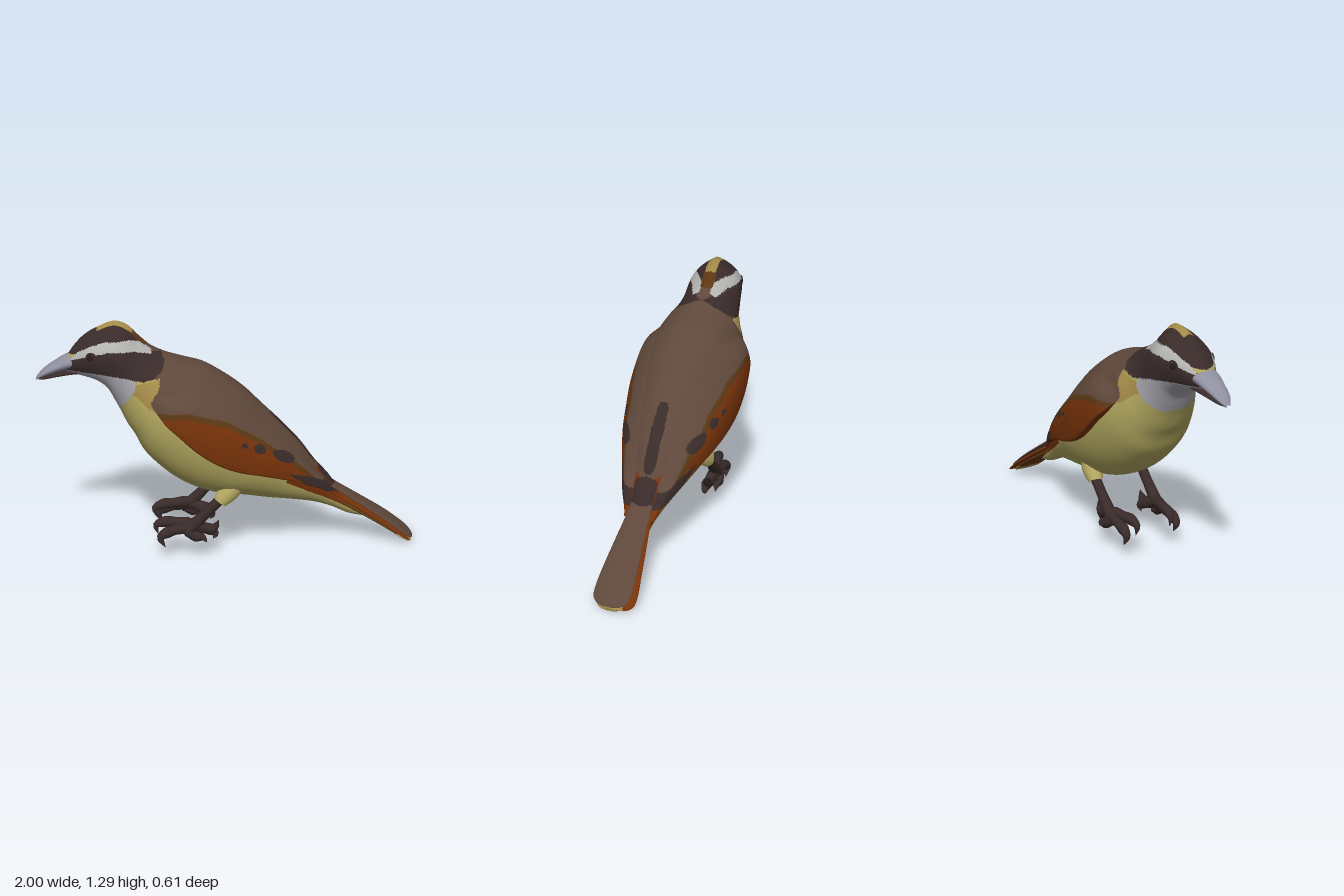
import * as THREE from 'three';

const mat = (name, color) => {
  const m = new THREE.MeshStandardMaterial({ color });
  m.name = name;
  return m;
};
const V = (x, y, z = 0) => new THREE.Vector3(x, y, z);
const lerp = THREE.MathUtils.lerp, smooth = THREE.MathUtils.smoothstep;
const [BROWN, DARK, ORANGE, OLIVE, OCHRE, WHITE, GREY, RUST, PALE, BLACK] = [0, 1, 2, 3, 4, 5, 6, 7, 8, 9];

// Body stations: top x, top y, bottom x, bottom y, half width, pointedness of upper half
const stations = [
  [-.85, 1.09, -.84, 1.03, .045, 1], [-.80, 1.165, -.77, 1.01, .085, 1.2], [-.74, 1.225, -.72, .995, .113, 1.5],
  [-.67, 1.265, -.67, .97, .132, 1.8], [-.59, 1.29, -.63, .93, .146, 1.95], [-.53, 1.27, -.605, .88, .153, 1.9],
  [-.47, 1.21, -.575, .82, .163, 1.6], [-.41, 1.155, -.54, .745, .188, 1.3], [-.33, 1.11, -.50, .68, .225, 1.05],
  [-.24, 1.08, -.46, .60, .25, 1], [-.14, 1.05, -.40, .53, .265, 1], [-.03, .985, -.31, .45, .268, 1],
  [.07, .91, -.20, .385, .26, 1], [.17, .81, -.07, .34, .238, 1], [.27, .71, .05, .325, .212, 1],
  [.37, .60, .18, .30, .17, 1], [.45, .49, .31, .28, .13, 1], [.52, .41, .44, .255, .095, 1],
  [.57, .345, .54, .22, .07, 1], [.65, .275, .64, .172, .05, 1], [.76, .195, .76, .14, .015, 1],
];
const LAST = stations.length - 1;
const topLine = new THREE.CatmullRomCurve3(stations.map(s => V(s[0], s[1], s[4])));
const bottomLine = new THREE.CatmullRomCurve3(stations.map(s => V(s[2], s[3], s[5])));

// Point on the body skin; a = 0 on the back, PI on the belly
function skin(t, a, off = 0) {
  const T = topLine.getPoint(t), B = bottomLine.getPoint(t);
  const f = (1 - Math.cos(a)) / 2, s = Math.sin(a), len = Math.hypot(T.x - B.x, T.y - B.y) || 1;
  const p = Math.cos(a) > 0 ? B.z : .88, k = off * Math.cos(a) / len;
  return V(lerp(T.x, B.x, f) + (T.x - B.x) * k, lerp(T.y, B.y, f) + (T.y - B.y) * k,
    Math.sign(s) * T.z * Math.abs(s) ** p + off * s);
}

// Grid surface whose faces are sorted into colour groups by paint(x, y, z)
function surface(name, mats, fn, nu, nv, closed, paint, flip = false) {
  const pos = [], cols = closed ? nv : nv + 1, faces = mats.map(() => []);
  for (let i = 0; i <= nu; i++) for (let j = 0; j < cols; j++) pos.push(...fn(i / nu, j / nv).toArray());
  const add = (a, b, c) => {
    const m = [0, 1, 2].map(k => (pos[a * 3 + k] + pos[b * 3 + k] + pos[c * 3 + k]) / 3);
    faces[paint(...m)].push(...(flip ? [a, c, b] : [a, b, c]));
  };
  for (let i = 0; i < nu; i++) for (let j = 0; j < nv; j++) {
    const k = (j + 1) % cols, a = i * cols + j, b = i * cols + k;
    add(a, b, a + cols);
    add(b, b + cols, a + cols);
  }
  const g = new THREE.BufferGeometry();
  g.setAttribute('position', new THREE.Float32BufferAttribute(pos, 3));
  g.setIndex(faces.flat());
  let start = 0;
  faces.forEach((f, i) => { if (f.length) g.addGroup(start, f.length, i); start += f.length; });
  g.computeVertexNormals();
  const mesh = new THREE.Mesh(g, mats);
  mesh.name = name;
  return mesh;
}

// Is a point within a side-view patch?
function inside(x, y, poly) {
  let hit = false;
  for (let i = 0, j = poly.length - 1; i < poly.length; j = i++) {
    const [ax, ay] = poly[i], [bx, by] = poly[j];
    if ((ay > y) !== (by > y) && x < (bx - ax) * (y - ay) / (by - ay) + ax) hit = !hit;
  }
  return hit;
}

// Plumage patches seen from the side
const stripe = [[-.83, 1.10], [-.78, 1.15], [-.71, 1.185], [-.64, 1.207], [-.52, 1.207], [-.41, 1.17], [-.41, 1.13], [-.5, 1.155], [-.62, 1.162], [-.72, 1.14]];
const crown = [[-.9, 1.1], [-.8, 1.3], [-.5, 1.35], [-.47, 1.2], [-.52, 1.18], [-.65, 1.19]];
const mask = [[-.87, 1.05], [-.83, 1.11], [-.62, 1.18], [-.41, 1.14], [-.36, 1.125], [-.343, 1.1], [-.36, 1.06], [-.4, 1.03], [-.46, 1.015], [-.58, 1.035], [-.72, 1.045]];
const throat = [[-.9, 1.08], [-.55, 1.06], [-.49, 1.03], [-.5, .97], [-.535, .91], [-.58, .855], [-.7, .84], [-.9, .95]];
const shoulder = [[-.565, .955], [-.5, 1], [-.37, 1.03], [-.38, .98], [-.42, .92], [-.39, .87], [-.44, .89], [-.49, .94]];
const flank = [[.27, .55], [.28, .43], [.38, .37], [.52, .29], [.64, .22], [.75, .2], [.75, .3], [.5, .45]];
const back = [[-.53, 1.35], [-.47, 1.03], [-.37, 1.03], [-.42, .92], [-.38, .86], [-.2, .72], [.1, .56], [.4, .4], [.72, .22], [.8, .4], [.3, 1.3]];
const wingBrown = [[-.6, .85], [-.37, .875], [-.23, .88], [-.04, .82], [.13, .71], [.33, .55], [.44, .44], [.6, .35], [.6, 1.4], [-.6, 1.4]];
const wingFringe = wingBrown.map(([x, y]) => [x, y - .028]);
const wingDark = [[.28, .5], [.4, .46], [.6, .36], [.6, .32], [.44, .375]];
// Dark wing marks: x, y, half length along the wing, half height
const spots = [[.05, .69, .018, .012], [.13, .66, .035, .022], [.26, .595, .07, .024]];

function paintBody(x, y, z) {
  const w = Math.abs(z);
  if (w < .03 && y > 1.235 && x > -.68 && x < -.5) return OCHRE;
  if (w < .035 && y > 1.17 && x > -.52 && x < -.43) return RUST;
  if (inside(x, y, stripe) && w > .03) return WHITE;
  if (inside(x, y, mask) || inside(x, y, crown)) return DARK;
  if (inside(x, y, throat)) return PALE;
  if (inside(x, y, shoulder)) return OCHRE;
  if (((x - .33) / .125) ** 4 + (w / .033) ** 4 < 1 && y > .46) return DARK;
  if (x > .465 && w < .06 && y > .32) return DARK;
  if (inside(x, y, flank) && w > .03) return ORANGE;
  return inside(x, y, back) ? BROWN : OLIVE;
}

function paintWing(x, y) {
  const inSpot = ([cx, cy, l, h]) => {
    const dx = x - cx, dy = y - cy;
    return ((dx * .87 - dy * .5) / l) ** 2 + ((dx * .5 + dy * .87) / h) ** 2 < 1;
  };
  if (spots.some(inSpot)) return DARK;
  if (inside(x, y, wingBrown)) return BROWN;
  if (inside(x, y, wingDark)) return DARK;
  return inside(x, y, wingFringe) ? RUST : ORANGE;
}

// Folded wing: a raised sheet that follows the body, with its edges sunk in
const upperEdge = new THREE.CatmullRomCurve3([V(0, .36), V(.1, .12), V(.3, .06), V(.6, .05), V(.85, .06), V(1, .22)]);
const lowerEdge = new THREE.CatmullRomCurve3([V(0, .5), V(.1, .58), V(.3, .62), V(.55, .55), V(.8, .42), V(1, .36)]);
function wingPoint(s, v, side) {
  const f = lerp(upperEdge.getPoint(s).y, lowerEdge.getPoint(s).y, v);
  const h = .036 * smooth(v, 0, .55) * smooth(s, 0, .14) * (1 - .45 * smooth(s, .8, 1));
  const p = skin(lerp(7.9, 18.3, s) / LAST, Math.acos(1 - 2 * f), lerp(h, -.02, smooth(v, .93, 1)) - .006 * (1 - smooth(v, 0, .1)));
  p.z *= side;
  return p;
}

// Tail blade: a flat arched feather layer along the tail line
const tailLine = new THREE.CatmullRomCurve3([V(.45, .42), V(.57, .335), V(.7, .25), V(.85, .15), V(.95, .072), V(1, .03)]);
function blade(name, mats, drop, end, width, thick, shiftZ, paint) {
  return surface(name, mats, (u, v) => {
    const c = tailLine.getPoint(u * end), a = v * Math.PI * 2;
    const round = Math.sqrt(Math.max(0, 1 - u ** 9));
    const z = lerp(.058, width, smooth(u, .1, .85)) * round * Math.sin(a);
    return V(c.x, c.y - drop * (1 - .6 * u) + thick * round * Math.cos(a) - 1.2 * z * z, z + shiftZ * u);
  }, 80, 40, true, paint);
}

// Half beak between two edge lines, from tip to base
function beakHalf(name, mats, upper, lower, widths, color) {
  const U = new THREE.CatmullRomCurve3(upper.map(p => V(...p))), L = new THREE.CatmullRomCurve3(lower.map(p => V(...p)));
  const W = new THREE.CatmullRomCurve3(widths.map((w, i) => V(i, w)));
  return surface(name, mats, (u, v) => {
    const a = v * Math.PI * 2, p = U.getPoint(u).lerp(L.getPoint(u), (1 - Math.cos(a)) / 2);
    p.z = W.getPoint(u).y * Math.sin(a);
    return p;
  }, 24, 24, true, () => color);
}

// Tapered tube for legs, toes and claws
function limb(name, material, points, radii, seg = 20) {
  const path = new THREE.CatmullRomCurve3(points.map(p => V(...p)));
  const g = new THREE.TubeGeometry(path, seg, 1, 12), pos = g.attributes.position, p = V(0, 0);
  for (let i = 0; i < pos.count; i++) {
    const u = Math.floor(i / 13) / seg, c = path.getPointAt(u), k = u * (radii.length - 1);
    const n = Math.min(Math.floor(k), radii.length - 2);
    p.fromBufferAttribute(pos, i).sub(c).multiplyScalar(lerp(radii[n], radii[n + 1], k - n)).add(c);
    pos.setXYZ(i, p.x, p.y, p.z);
  }
  const m = new THREE.Mesh(g, material);
  m.name = name;
  return m;
}

export function createModel() {
  const bird = new THREE.Group();
  bird.name = 'bird';
  const mats = [
    mat('back brown', 0x5f483b), mat('dark brown', 0x392b2a), mat('wing orange', 0x78330a), mat('belly olive', 0xb2a75f),
    mat('ochre', 0xa38a49), mat('stripe white', 0xb4b4b2), mat('beak grey', 0x9090a2), mat('rust brown', 0x5c3814),
    mat('throat grey', 0xa6a6ad), mat('eye black', 0x281e1e),
  ];

  bird.add(surface('body', mats, (u, v) => skin(u, v * Math.PI * 2), 220, 140, true, paintBody));

  // Beak
  bird.add(beakHalf('upperBeak', mats, [[-1, 1], [-.965, 1.04], [-.9, 1.085], [-.84, 1.118], [-.78, 1.13]],
    [[-1, .985], [-.965, 1.003], [-.9, 1.025], [-.84, 1.042], [-.78, 1.05]], [.012, .037, .054, .067, .07], GREY));
  bird.add(beakHalf('lowerBeak', mats, [[-.985, .995], [-.95, 1.008], [-.9, 1.026], [-.84, 1.044], [-.78, 1.05]],
    [[-.985, .985], [-.95, .99], [-.9, 1.002], [-.84, 1.013], [-.78, 1.02]], [.006, .028, .045, .058, .062], DARK));

  // Tail layers
  bird.add(blade('tailTop', mats, 0, 1, .103, .014, 0, () => BROWN));
  bird.add(blade('tailMiddle', mats, .04, .985, .115, .018, -.02, (x, y, z) => (x > .95 && Math.abs(z) < .07 ? OCHRE : ORANGE)));
  bird.add(blade('tailUnder', mats, .07, .975, .088, .018, 0, (x, y, z) => (x > .9 ? OCHRE : Math.abs(z) > .05 ? RUST : ORANGE)));

  for (const side of [1, -1]) {
    const label = side > 0 ? 'left' : 'right';
    bird.add(surface(label + 'Wing', mats, (u, v) => wingPoint(u, v, side), 120, 50, false, paintWing, side < 0));

    // Eye with a raised rim
    const eye = new THREE.Mesh(new THREE.SphereGeometry(.024, 20, 14), mats[BLACK]);
    eye.name = label + 'Eye';
    eye.position.set(-.71, 1.128, side * .1);
    const rim = new THREE.Mesh(new THREE.TorusGeometry(.025, .006, 8, 24), mats[DARK]);
    rim.name = label + 'EyeRim';
    rim.position.set(-.712, 1.128, side * .113);
    rim.rotation.y = -side * .3;
    bird.add(eye, rim);

    // Leg, foot and clawed toes
    const leg = new THREE.Group(), z = side * .145;
    leg.name = label + 'Leg';
    leg.add(limb('thigh', mats[OLIVE], [[.01, .43, z * .75], [-.03, .375, z * .93], [-.07, .325, z]], [.07, .06, .036]));
    leg.add(limb('shin', mats[DARK], [[-.04, .37, z], [-.12, .285, z], [-.22, .185, z]], [.027, .027, .034]));
    const toes = {
      innerToe: [[-.19, .20, 0], [-.28, .205, -.02], [-.36, .205, -.035], [-.405, .185, -.04], [-.395, .13, -.04]],
      middleToe: [[-.19, .19, 0], [-.27, .18, .005], [-.34, .165, .008], [-.385, .135, .01], [-.36, .075, .01]],
      outerToe: [[-.2, .2, 0], [-.24, .17, .012], [-.2, .14, .018], [-.16, .13, .02], [-.14, .1, .02]],
      hindToe: [[-.22, .19, 0], [-.16, .18, -.01], [-.11, .165, -.012], [-.085, .19, -.012], [-.075, .215, -.012]],
      hindClaw: [[-.2, .19, 0], [-.15, .165, -.015], [-.11, .15, -.022], [-.09, .125, -.024], [-.105, .1, -.024]],
    };
    for (const [name, pts] of Object.entries(toes)) {
      leg.add(limb(name, mats[DARK], pts.map(p => [p[0], p[1], z + side * p[2]]), [.022, .033, .026, .03, .018, .001]));
    }
    bird.add(leg);
  }
  return bird;
}
